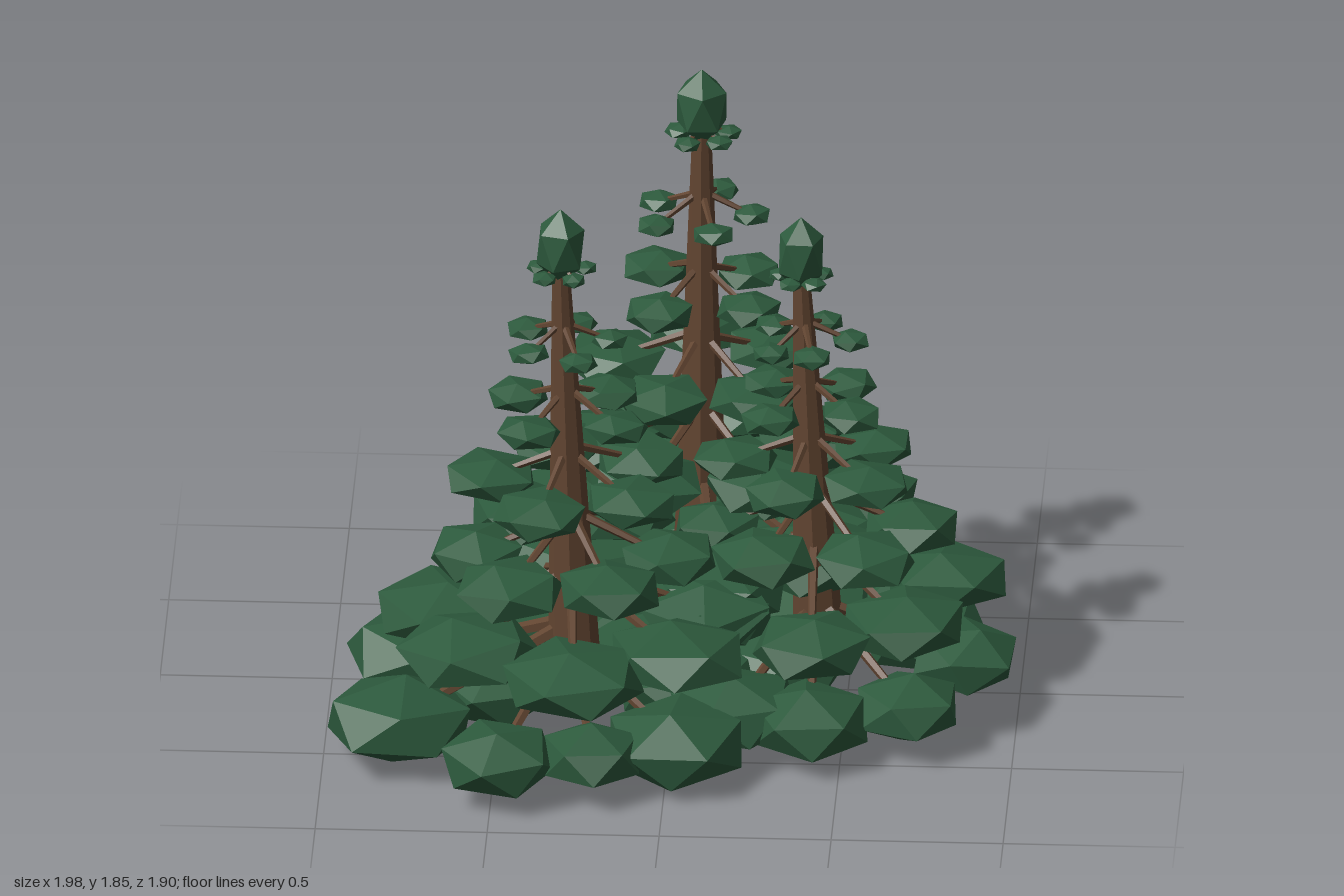
import * as THREE from 'three';

const needles = new THREE.MeshStandardMaterial({ color: 0x2d5a3d, flatShading: true });
needles.name = 'needle green';
const bark = new THREE.MeshStandardMaterial({ color: 0x624531, flatShading: true });
bark.name = 'bark brown';

// Seeded random for small natural variation
let seed = 7;
const rand = (a, b) => {
  seed = (seed * 16807) % 2147483647;
  return a + (b - a) * (seed / 2147483647);
};

// Trees: base and top of the trunk, tip height, first upper tier and spacing.
// lower: x, z, radius of each foliage pad in the wide bottom skirt.
const TREES = [
  {
    name: 'leftTree', base: [-0.275, 0.34], top: [-0.32, 0.33], tip: 1.70, y1: 0.38, step: 0.224, size: 1,
    lower: [[0.03, 0.61, 0.21], [-0.21, 0.73, 0.15], [-0.48, 0.775, 0.17], [-0.78, 0.52, 0.22], [-0.74, 0.07, 0.22],
      [-0.47, -0.11, 0.21], [-0.2, -0.04, 0.2], [0.05, 0.22, 0.22], [-0.52, 0.3, 0.18]],
  },
  {
    name: 'tallTree', base: [0.06, -0.27], top: [0.06, -0.29], tip: 1.86, y1: 0.41, step: 0.248, size: 1.08,
    lower: [[-0.4, -0.53, 0.24], [0.06, -0.73, 0.22], [0.31, -0.7, 0.19], [0.47, -0.5, 0.2], [0.63, -0.34, 0.2],
      [-0.38, -0.2, 0.21], [-0.1, 0.06, 0.21], [0.3, 0.08, 0.21], [-0.14, -0.42, 0.19], [0.24, -0.42, 0.19]],
  },
  {
    name: 'rightTree', base: [0.42, 0.05], top: [0.365, 0.04], tip: 1.55, y1: 0.36, step: 0.2, size: 0.95,
    lower: [[0.84, 0.02, 0.16], [0.69, 0.38, 0.16], [0.41, 0.46, 0.18], [0.19, 0.4, 0.19], [0.71, -0.16, 0.19],
      [0.4, -0.25, 0.2], [0.1, 0.0, 0.2]],
  },
];

// Upper tiers: pad distance from trunk, pad radius, half height, pad count, turn
const TIERS = [
  [0.39, 0.195, 0.09, 7, 0.2],
  [0.29, 0.152, 0.075, 6, 0],
  [0.235, 0.133, 0.058, 5, 0.1],
  [0.18, 0.094, 0.045, 4, 0.75],
  [0.14, 0.057, 0.029, 5, 0.6],
  [0.07, 0.036, 0.019, 5, 0.3],
];

// Icosahedron with a corner pointing up, and slightly tipped versions of it
const pointedGeometry = new THREE.IcosahedronGeometry(1, 0).rotateX(-Math.atan2(1.618, 1));
const padGeometries = [0.08, 0.14, 0.2, 0.26].map((tilt, i) => pointedGeometry.clone().rotateY(i).rotateZ(tilt));

function addMesh(group, name, geometry, material) {
  const mesh = new THREE.Mesh(geometry, material);
  mesh.name = name;
  group.add(mesh);
  return mesh;
}

// Tapered rod from a to b
function addRod(group, name, a, b, ra, rb, sides) {
  const dir = b.clone().sub(a);
  const rod = addMesh(group, name, new THREE.CylinderGeometry(rb, ra, dir.length(), sides), bark);
  rod.position.copy(a).addScaledVector(dir, 0.5);
  rod.quaternion.setFromUnitVectors(new THREE.Vector3(0, 1, 0), dir.normalize());
}

// Flattened foliage pad
function addPad(group, p, radius, half) {
  const pad = addMesh(group, 'foliagePad', padGeometries[Math.floor(rand(0, 4))], needles);
  pad.position.copy(p);
  pad.scale.set(radius * 1.07, half, radius * 1.07);
  pad.rotation.set(rand(-0.06, 0.06), rand(0, Math.PI * 2), rand(-0.06, 0.06));
}

function createTree(t) {
  const tree = new THREE.Group();
  tree.name = t.name;
  const foot = new THREE.Vector3(t.base[0], 0.12, t.base[1]);
  const head = new THREE.Vector3(t.top[0], t.tip - 0.15, t.top[1]);
  addRod(tree, 'trunk', foot, head, 0.082 * t.size, 0.024 * t.size, 8);
  const onTrunk = (y) => foot.clone().lerp(head, (y - foot.y) / (head.y - foot.y));

  // Drooping branch with a pad at its end
  const addBough = (p, radius, half) => {
    const axis = onTrunk(p.y);
    const reach = Math.hypot(p.x - axis.x, p.z - axis.z);
    const root = onTrunk(p.y + reach * 0.45);
    addRod(tree, 'branch', root, p, 0.007 + reach * 0.028, 0.004 + reach * 0.018, 5);
    addPad(tree, p, radius, half);
  };

  // Bottom skirt
  for (const [x, z, r] of t.lower) addBough(new THREE.Vector3(x, rand(0.125, 0.145), z), r, 0.03 + r * 0.42);

  // Upper tiers
  TIERS.forEach(([dist, radius, half, count, turn], i) => {
    const y = t.y1 + i * t.step;
    const axis = onTrunk(y);
    for (let k = 0; k < count; k++) {
      const a = Math.PI + turn + (k / count) * Math.PI * 2 + rand(-0.15, 0.15);
      const d = dist * t.size * rand(0.94, 1.05);
      const p = new THREE.Vector3(axis.x + Math.cos(a) * d, y + rand(-0.12, 0.12) * half, axis.z + Math.sin(a) * d);
      addBough(p, radius * t.size * rand(0.92, 1.08), half * t.size);
    }
  });

  // Pointed crown
  const crown = addMesh(tree, 'crown', pointedGeometry, needles);
  crown.position.set(t.top[0], t.tip - 0.12, t.top[1]);
  crown.scale.set(0.078 * t.size, 0.12, 0.078 * t.size);
  crown.rotation.y = rand(0, 6);
  return tree;
}

export function createModel() {
  seed = 7;
  const model = new THREE.Group();
  model.name = 'pineGrove';
  for (const t of TREES) model.add(createTree(t));
  return model;
}
